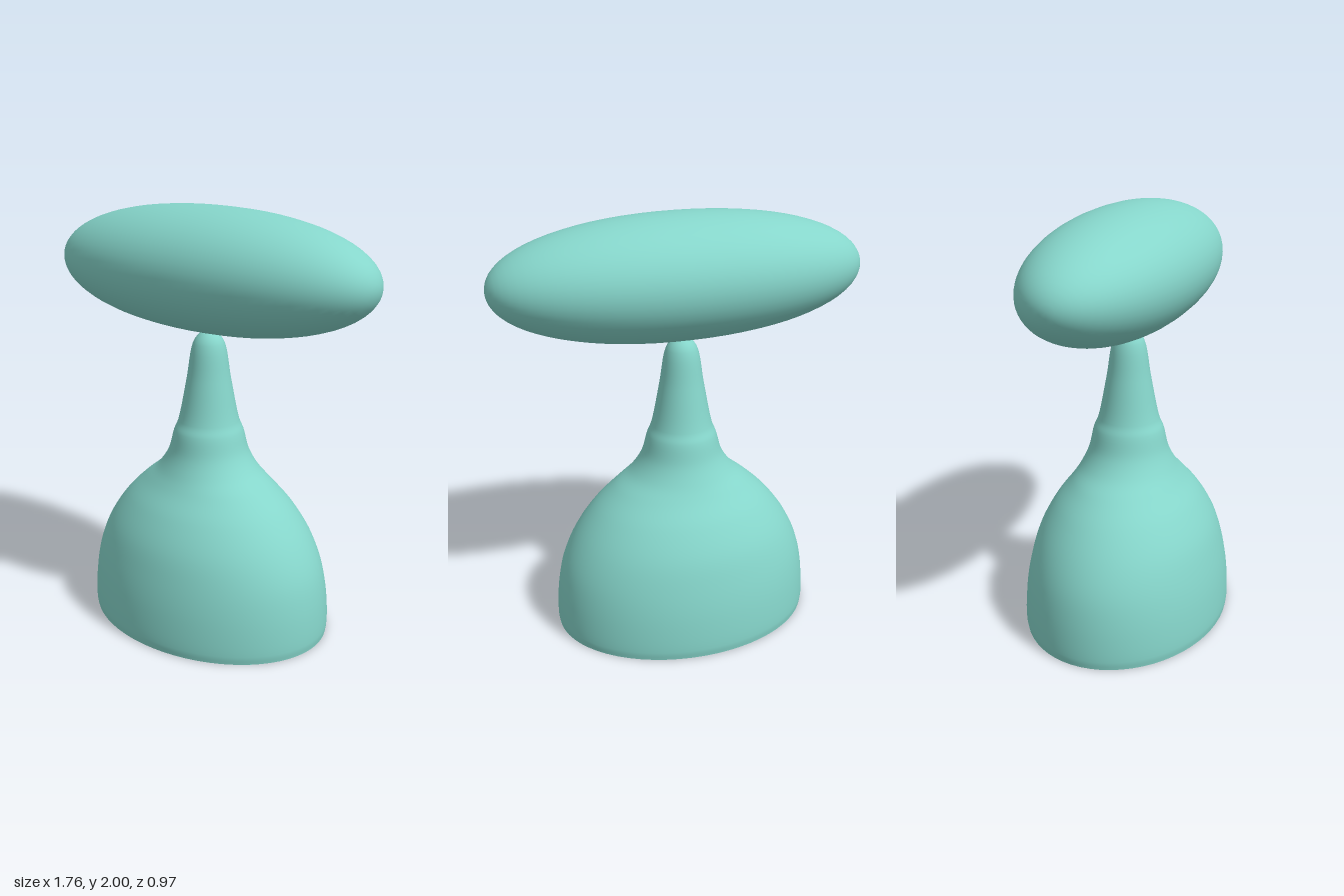
import * as THREE from 'three';
import { mergeVertices } from 'three/addons/utils/BufferGeometryUtils.js';

const teal = new THREE.MeshStandardMaterial({ color: 0x86d6cb, side: THREE.DoubleSide });
teal.name = 'soft teal';

const BASE_X = 0.635, BASE_Z = 0.485;

// Weld the lathe seam so that the smooth normals follow the deformed surface
function smooth(geometry) {
  geometry.deleteAttribute('uv');
  geometry.deleteAttribute('normal');
  const welded = mergeVertices(geometry, 1e-4);
  welded.computeVertexNormals();
  return welded;
}

// Stack of elliptical sections, each given as [half width x, height y, half depth z]
function ellipticalLoft(sections, rings, sides) {
  const curve = new THREE.CatmullRomCurve3(
    sections.map((s) => new THREE.Vector3(...s)), false, 'centripetal');
  const points = curve.getPoints(rings);
  const geometry = new THREE.LatheGeometry(
    points.map((p) => new THREE.Vector2(Math.max(p.x, 0), p.y)), sides);
  const pos = geometry.attributes.position;
  for (let i = 0; i < pos.count; i++) {
    const p = points[i % points.length];
    if (p.x > 1e-4) pos.setZ(i, pos.getZ(i) * p.z / p.x);
  }
  return smooth(geometry);
}

// Bell-shaped foot flowing up into a narrow neck
function makeStand() {
  return ellipticalLoft([
    [BASE_X - 0.005, 0, BASE_Z - 0.005],
    [BASE_X, 0.04, BASE_Z],
    [0.625, 0.2, 0.475],
    [0.595, 0.34, 0.45],
    [0.535, 0.47, 0.412],
    [0.44, 0.6, 0.343],
    [0.335, 0.7, 0.268],
    [0.25, 0.77, 0.225],
    [0.195, 0.85, 0.19],
    [0.165, 0.95, 0.167],
    [0.145, 1.0, 0.146],
    [0.105, 1.2, 0.105],
    [0.075, 1.37, 0.075],
    [0.045, 1.415, 0.045],
    [0, 1.44, 0],
  ], 84, 64);
}

// Flat underside, left open along one chord
function makeUnderside() {
  const points = [];
  const start = THREE.MathUtils.degToRad(195), end = THREE.MathUtils.degToRad(432);
  for (let i = 0; i <= 48; i++) {
    const a = start + (end - start) * i / 48;
    points.push(new THREE.Vector2(
      (BASE_X - 0.005) * Math.cos(a), (BASE_Z - 0.005) * Math.sin(a)));
  }
  return new THREE.ShapeGeometry(new THREE.Shape(points)).rotateX(Math.PI / 2);
}

// Long, slightly full ellipsoid lying along x
function makeTop() {
  const profile = [];
  const power = 2 / 2.12;
  for (let i = 0; i <= 36; i++) {
    const a = -Math.PI / 2 + Math.PI * i / 36;
    const s = Math.sin(a), c = Math.max(Math.cos(a), 0);
    profile.push(new THREE.Vector2(
      i % 36 === 0 ? 0 : c ** power, Math.sign(s) * Math.abs(s) ** power));
  }
  const geometry = new THREE.LatheGeometry(profile, 48);
  geometry.rotateZ(-Math.PI / 2).scale(0.88, 0.285, 0.355).translate(0, 1.715, 0);
  return smooth(geometry);
}

export function createModel() {
  const group = new THREE.Group();
  group.name = 'pedestal with oval top';
  const parts = { stand: makeStand(), underside: makeUnderside(), ovalTop: makeTop() };
  for (const [name, geometry] of Object.entries(parts)) {
    const mesh = new THREE.Mesh(geometry, teal);
    mesh.name = name;
    group.add(mesh);
  }
  return group;
}
